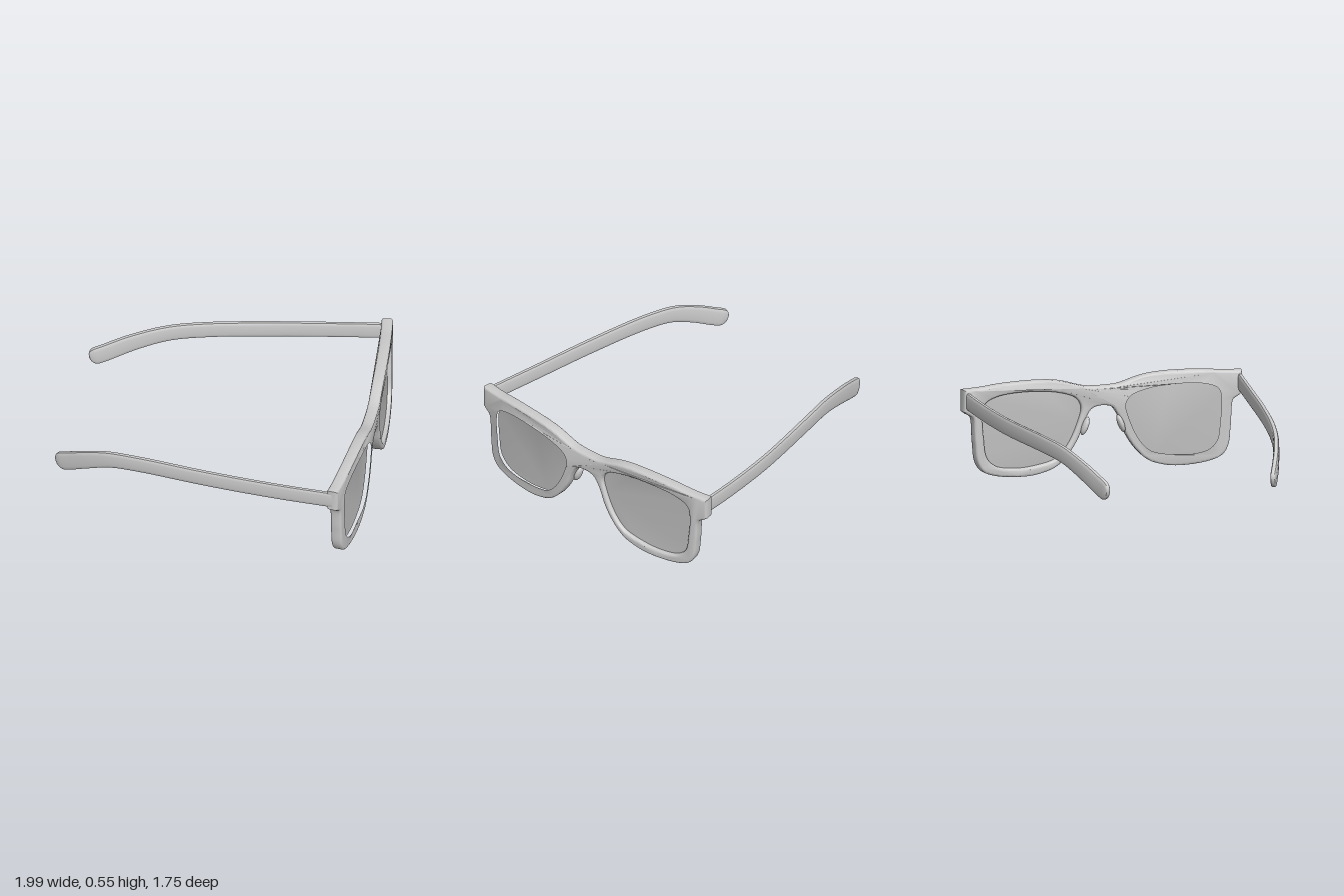
import * as THREE from 'three';
import { toCreasedNormals } from 'three/addons/utils/BufferGeometryUtils.js';

const ZC = -0.055; // bridge centre along z
const V3 = (p) => new THREE.Vector3(p[0], p[1], p[2] || 0);
const mirror = (pts) => pts.map(([s, y]) => [-s, y]);

// Smooth 2D polyline through a few points
function smooth(pts, n, closed = false) {
  const c = new THREE.CatmullRomCurve3(pts.map(V3), closed, 'centripetal');
  const out = c.getSpacedPoints(n).map((p) => new THREE.Vector2(p.x, p.y));
  if (closed) out.pop();
  return out;
}

// Wrap a flat front (s, y, depth) around the curved face line; the front looks along +x
function wrap(geo) {
  const p = geo.attributes.position;
  for (let i = 0; i < p.count; i++) {
    const z = ZC - p.getX(i), w = p.getZ(i), t = (z - ZC) / 0.8;
    const slope = (0.2 - 0.13 * t) / 0.8, len = Math.hypot(1, slope);
    p.setXYZ(i, 0.825 + 0.2 * t - 0.065 * t * t + w / len, p.getY(i), z - (w * slope) / len);
  }
  return toCreasedNormals(geo, 0.6);
}

// Half outlines, from the bridge outwards and back
const TOP = [[0.05, 0.497], [0.1, 0.502], [0.24, 0.543], [0.36, 0.557], [0.58, 0.557], [0.7, 0.548], [0.815, 0.546]];
const BOTTOM = [[0.815, 0.417], [0.79, 0.397], [0.765, 0.38], [0.75, 0.23], [0.735, 0.11], [0.7, 0.056], [0.62, 0.023],
  [0.46, 0.005], [0.365, 0.014], [0.27, 0.047], [0.2, 0.112], [0.14, 0.206], [0.098, 0.314], [0.061, 0.37], [0.025, 0.383]];
const LENS = [[0.707, 0.393], [0.69, 0.454], [0.623, 0.487], [0.46, 0.5], [0.27, 0.482], [0.155, 0.44], [0.122, 0.385], [0.14, 0.3],
  [0.2, 0.169], [0.27, 0.094], [0.365, 0.066], [0.506, 0.056], [0.623, 0.08], [0.68, 0.136], [0.7, 0.253]];

function frameGeometry() {
  const top = smooth([...mirror(TOP).reverse(), ...TOP], 70);
  const bottom = smooth([...BOTTOM, ...mirror(BOTTOM).reverse()], 180);
  const shape = new THREE.Shape([...top, ...bottom]);
  for (const pts of [LENS, mirror(LENS)]) shape.holes.push(new THREE.Path(smooth(pts, 80, true)));
  const geo = new THREE.ExtrudeGeometry(shape, {
    depth: 0.04, bevelEnabled: true, bevelThickness: 0.013, bevelSize: 0.013, bevelOffset: -0.013, bevelSegments: 3,
  });
  return wrap(geo.translate(0, 0, -0.02));
}

function lensGeometry(pts) {
  const shape = new THREE.Shape(smooth(pts, 80, true));
  return wrap(new THREE.ExtrudeGeometry(shape, { depth: 0.016, bevelEnabled: false }).translate(0, 0, -0.008));
}

// Loft a flattened rounded section along an arm; the tip closes in a round end
function templeGeometry(path) {
  const curve = new THREE.CatmullRomCurve3(path.map(V3), false, 'centripetal');
  const N = 72, M = 16, pos = [], idx = [], up = new THREE.Vector3(0, 1, 0);
  const soft = (v) => Math.sign(v) * Math.pow(Math.abs(v), 0.55);
  for (let i = 0; i <= N; i++) {
    const t = 1 - Math.pow(1 - i / N, 1.4), c = curve.getPointAt(t), T = curve.getTangentAt(t);
    const S = new THREE.Vector3().crossVectors(T, up).normalize();
    const V = new THREE.Vector3().crossVectors(S, T);
    const e = Math.max(0, (t - 0.972) / 0.028), k = Math.sqrt(Math.max(0, 1 - e * e));
    const h = (0.049 + 0.007 * THREE.MathUtils.smoothstep(t, 0.7, 0.95)) * k;
    const w = (0.014 + 0.004 * t) * Math.sqrt(k);
    for (let j = 0; j < M; j++) {
      const a = (j / M) * Math.PI * 2;
      const p = c.clone().addScaledVector(S, w * soft(Math.cos(a))).addScaledVector(V, h * soft(Math.sin(a)));
      pos.push(p.x, p.y, p.z);
      if (i === N) continue;
      const q = i * M + j, r = i * M + ((j + 1) % M);
      idx.push(q, q + M, r, r, q + M, r + M);
    }
  }
  const geo = new THREE.BufferGeometry();
  geo.setAttribute('position', new THREE.Float32BufferAttribute(pos, 3));
  geo.setIndex(idx);
  return toCreasedNormals(geo, 0.7);
}

export function createModel() {
  const group = new THREE.Group();
  const frameMat = new THREE.MeshStandardMaterial({ color: 0xcccccc });
  frameMat.name = 'frame grey';
  const lensMat = new THREE.MeshStandardMaterial({ color: 0xc0c0c0 });
  lensMat.name = 'lens grey';
  const add = (name, geo, mat) => {
    const mesh = new THREE.Mesh(geo, mat);
    mesh.name = name;
    group.add(mesh);
  };

  // Front with lenses and nose pads
  add('frontFrame', frameGeometry(), frameMat);
  for (const side of [-1, 1]) {
    const label = side < 0 ? 'PlusZ' : 'MinusZ';
    add('lens' + label, lensGeometry(side < 0 ? mirror(LENS) : LENS), lensMat);
    const pad = new THREE.SphereGeometry(1, 20, 14).scale(0.018, 0.055, 0.03);
    pad.rotateZ(side * 0.35).translate(side * 0.105, 0.275, -0.035);
    add('nosePad' + label, wrap(pad.toNonIndexed()), frameMat);
  }

  // Arms, opened unequally
  add('templePlusZ', templeGeometry([[0.96, 0.48, 0.748], [0.6, 0.462, 0.79], [0.2, 0.45, 0.83], [-0.2, 0.437, 0.853],
    [-0.4, 0.412, 0.855], [-0.55, 0.357, 0.845], [-0.68, 0.296, 0.825], [-0.752, 0.268, 0.811]]), frameMat);
  add('templeMinusZ', templeGeometry([[0.56, 0.48, -0.845], [0.3, 0.462, -0.76], [0, 0.447, -0.65], [-0.4, 0.434, -0.475],
    [-0.6, 0.414, -0.375], [-0.78, 0.358, -0.275], [-0.92, 0.296, -0.19], [-0.99, 0.268, -0.15]]), frameMat);
  return group;
}
